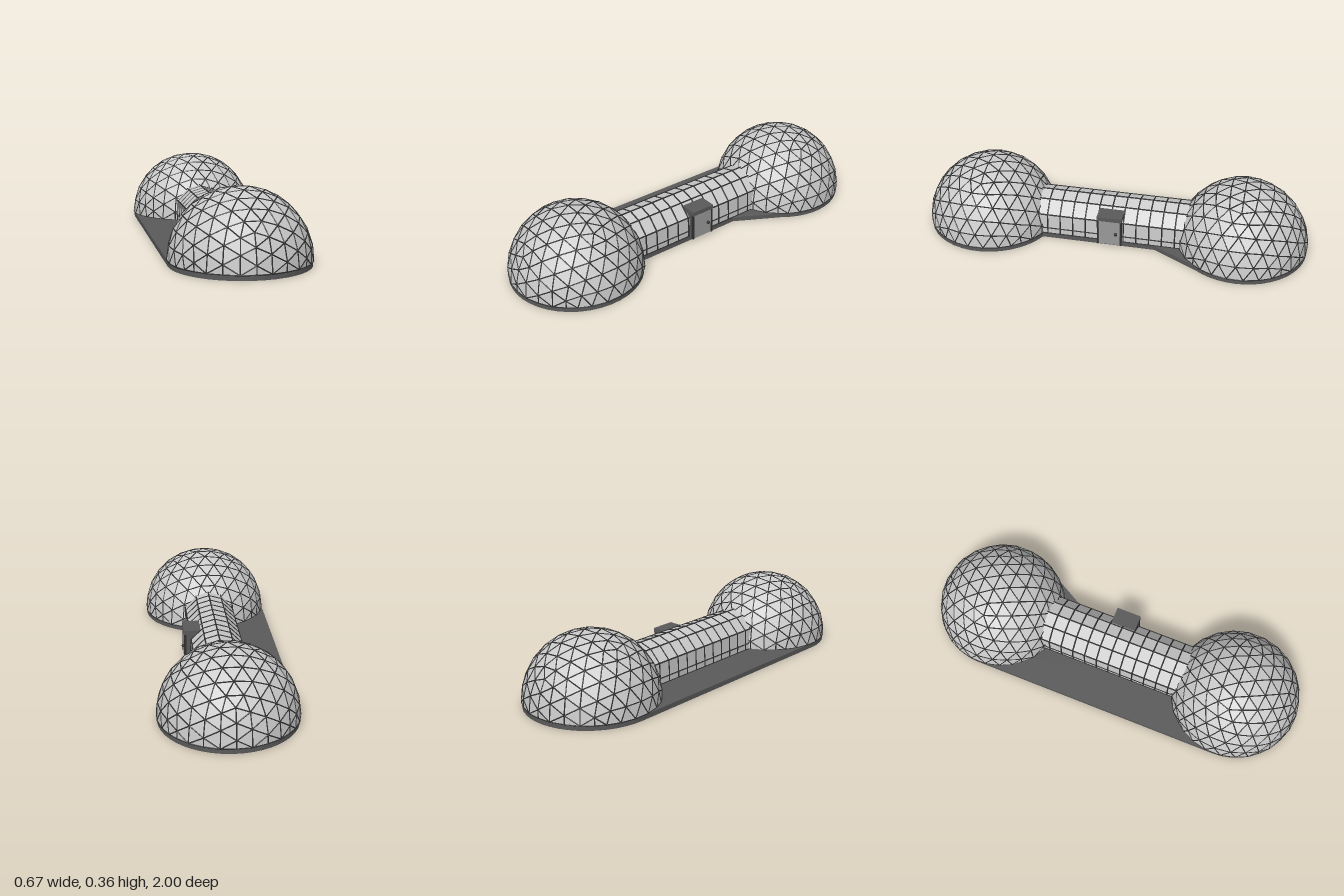
import * as THREE from 'three';
import { mergeGeometries } from 'three/addons/utils/BufferGeometryUtils.js';

const R = 0.335, CZ = 0.6645, BASE = 0.024, HALF = 0.4;

const mat = (color) => new THREE.MeshStandardMaterial({ color, flatShading: true, side: THREE.DoubleSide });
const panelMat = mat(0xcccccc), strutMat = mat(0x303030), slabMat = mat(0x5a5a5a), doorMat = mat(0x999999);

function add(parent, name, geometry, material, x = 0, y = 0, z = 0) {
  const mesh = new THREE.Mesh(geometry, material);
  mesh.name = name;
  mesh.position.set(x, y, z);
  parent.add(mesh);
  return mesh;
}

// A thin bar between two points
function bar(a, b, radius = 0.0032) {
  const dir = b.clone().sub(a);
  const g = new THREE.CylinderGeometry(radius, radius, dir.length(), 5);
  g.applyQuaternion(new THREE.Quaternion().setFromUnitVectors(new THREE.Vector3(0, 1, 0), dir.normalize()));
  const mid = a.clone().add(b).multiplyScalar(0.5);
  return g.translate(mid.x, mid.y, mid.z);
}

// Geodesic half sphere: panels plus a bar on every edge
function createDome() {
  const dome = new THREE.Group();
  const pos = new THREE.IcosahedronGeometry(R, 4).getAttribute('position');
  const corners = [], bars = new Map();
  const key = (v) => v.toArray().map((n) => Math.round(n * 1e4)).join(',');
  for (let i = 0; i < pos.count; i += 3) {
    const tri = [0, 1, 2].map((k) => new THREE.Vector3().fromBufferAttribute(pos, i + k));
    if (Math.max(...tri.map((v) => v.y)) < 1e-4) continue;
    // Edges cross the equator upright, so the foot lies straight below
    tri.forEach((v) => { v.y = Math.max(v.y, 0); corners.push(v.x, v.y, v.z); });
    tri.forEach((a, k) => {
      const b = tri[(k + 1) % 3];
      const id = [key(a), key(b)].sort().join('|');
      if (!bars.has(id)) bars.set(id, bar(a, b));
    });
  }
  const panels = new THREE.BufferGeometry();
  panels.setAttribute('position', new THREE.Float32BufferAttribute(corners, 3));
  panels.computeVertexNormals();
  add(dome, 'domePanels', panels, panelMat);
  add(dome, 'domeStruts', mergeGeometries([...bars.values()]), strutMat);
  return dome;
}

// Faceted vault between the domes
function createTunnel() {
  const tunnel = new THREE.Group();
  const half = [[0.132, BASE], [0.132, 0.056], [0.128, 0.134], [0.068, 0.194]];
  const profile = [...half, [0, 0.214], ...half.map(([x, y]) => [-x, y]).reverse()];
  const shape = new THREE.Shape(profile.map(([x, y]) => new THREE.Vector2(x, y)));
  const shell = new THREE.ExtrudeGeometry(shape, { depth: 2 * HALF, bevelEnabled: false });
  add(tunnel, 'tunnelPanels', shell, panelMat, 0, 0, -HALF);

  const bars = [];
  const at = ([x, y], z) => new THREE.Vector3(x, y, z);
  profile.forEach((p, i) => {
    bars.push(bar(at(p, -HALF), at(p, HALF), 0.004));
    if (i === 0) return;
    for (let k = 0; k <= 12; k++) {
      const z = -HALF + (k * 2 * HALF) / 12;
      bars.push(bar(at(profile[i - 1], z), at(p, z), 0.004));
    }
  });
  add(tunnel, 'tunnelStruts', mergeGeometries(bars), strutMat);
  return tunnel;
}

// Boxed porch with a door on the left side
function createEntrance() {
  const entrance = new THREE.Group();
  add(entrance, 'porchBody', new THREE.BoxGeometry(0.085, 0.155, 0.12), slabMat, 0.1175, 0.0975, 0);
  add(entrance, 'porchRoof', new THREE.BoxGeometry(0.1, 0.022, 0.13), slabMat, 0.117, 0.172, 0);
  add(entrance, 'door', new THREE.BoxGeometry(0.006, 0.135, 0.108), doorMat, 0.16, 0.09, 0);
  for (const z of [-0.06, 0.06]) {
    add(entrance, 'doorPost', new THREE.BoxGeometry(0.012, 0.15, 0.008), strutMat, 0.159, 0.095, z);
  }
  add(entrance, 'doorKnob', new THREE.SphereGeometry(0.009, 12, 8), strutMat, 0.167, 0.088, -0.034);
  return entrance;
}

// One-piece ground slab: straight on one side, notched on the other
function createSlab() {
  const r = 0.333, pts = [];
  const arc = (cz, from, to) => {
    for (let i = 0; i <= 28; i++) {
      const a = from + ((to - from) * i) / 28;
      pts.push(new THREE.Vector2(r * Math.cos(a), cz + r * Math.sin(a)));
    }
  };
  arc(CZ, -Math.acos(0.135 / r), Math.PI);
  arc(-CZ, Math.PI, 2 * Math.PI + 0.66);
  pts.push(new THREE.Vector2(0.135, -0.23));
  const g = new THREE.ExtrudeGeometry(new THREE.Shape(pts), { depth: BASE, bevelEnabled: false });
  return g.rotateX(Math.PI / 2).translate(0, BASE, 0);
}

export function createModel() {
  const model = new THREE.Group();
  model.name = 'twinDomeHabitat';
  add(model, 'groundSlab', createSlab(), slabMat);
  for (const [name, side] of [['frontDome', 1], ['backDome', -1]]) {
    const dome = createDome();
    dome.name = name;
    dome.position.set(0, BASE, side * CZ);
    model.add(dome);
  }
  const tunnel = createTunnel();
  tunnel.name = 'tunnel';
  const entrance = createEntrance();
  entrance.name = 'entrance';
  model.add(tunnel, entrance);
  return model;
}
